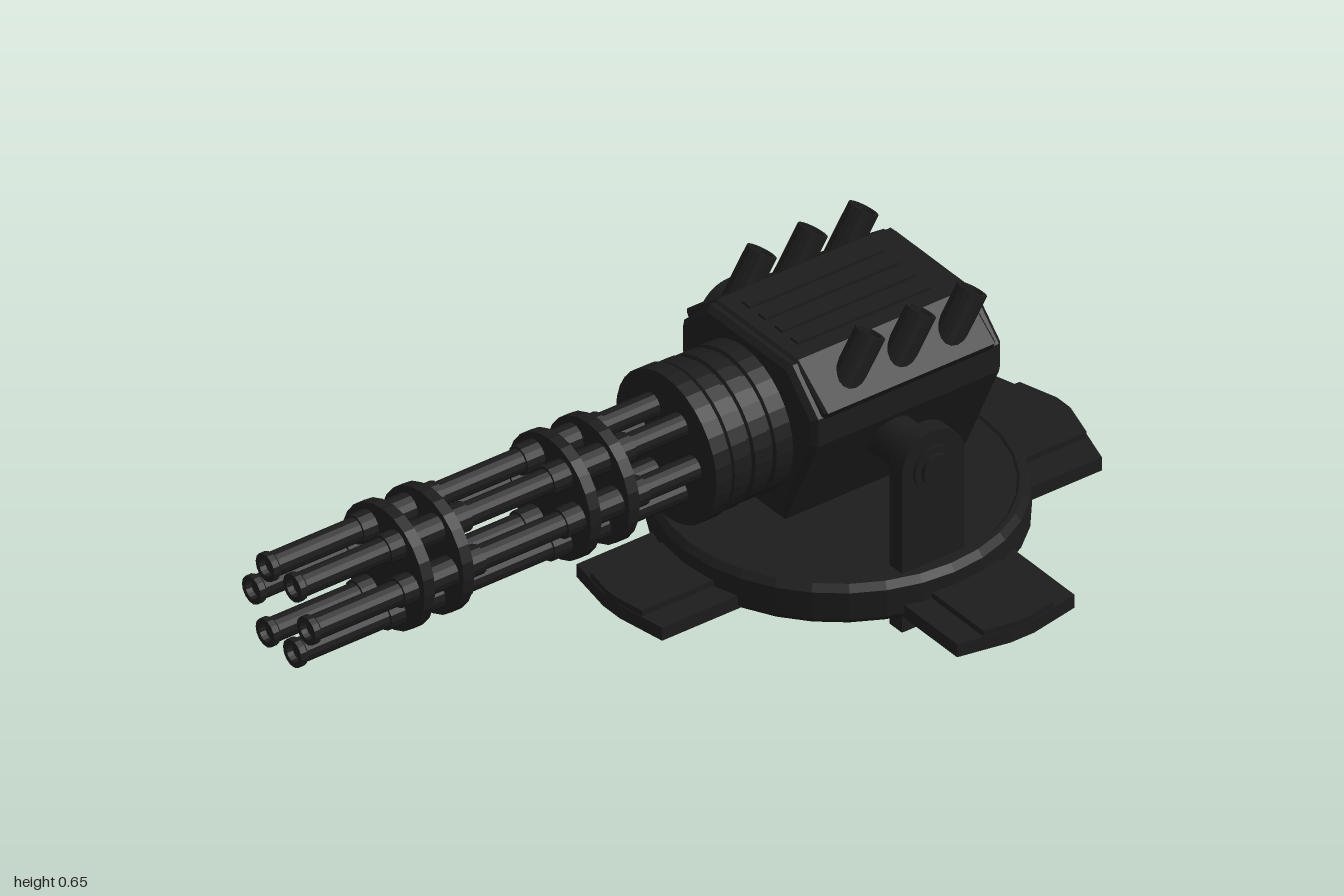
import * as THREE from 'three';

const material = new THREE.MeshStandardMaterial({ color: 0x1c1c1c, flatShading: true });
const smooth = new THREE.MeshStandardMaterial({ color: 0x1c1c1c });
const BASE_X = 0.425;
const AXIS_Y = 0.403, AXIS_Z = -0.007;

function add(parent, name, geometry, x = 0, y = 0, z = 0, mat = material) {
  const mesh = new THREE.Mesh(geometry, mat);
  mesh.name = name;
  mesh.position.set(x, y, z);
  parent.add(mesh);
  return mesh;
}

const polygon = (points) => new THREE.Shape(points.map(([x, y]) => new THREE.Vector2(x, y)));

// Half outline (z, y) from top to bottom, mirrored and extruded along x with a bevel
function prismX(half, x0, x1, bevel) {
  const outline = [...half.map(([z, y]) => [-z, y]), ...half.slice().reverse()];
  const geometry = new THREE.ExtrudeGeometry(polygon(outline), {
    depth: x1 - x0 - 2 * bevel, bevelEnabled: true, bevelSegments: 1,
    bevelSize: bevel, bevelThickness: bevel, bevelOffset: -bevel,
  });
  return geometry.rotateY(Math.PI / 2).translate(x0 + bevel, 0, 0);
}

// Turned part around the x axis from [radius, x] points
function latheX(profile, segments = 32) {
  return new THREE.LatheGeometry(profile.map(([r, x]) => new THREE.Vector2(r, x)), segments).rotateZ(-Math.PI / 2);
}

// Plate lying flat, from an outline of (radial, lateral) points
function plate(points, y0, y1) {
  return new THREE.ExtrudeGeometry(polygon(points), { depth: y1 - y0, bevelEnabled: false })
    .rotateX(-Math.PI / 2).translate(0, y0, 0);
}

function buildBase(root) {
  const base = new THREE.Group();
  base.name = 'base';
  base.position.x = BASE_X;
  root.add(base);
  const profile = [[0, 0.057], [0.385, 0.057], [0.395, 0.07], [0.395, 0.135], [0.382, 0.15], [0.37, 0.15], [0.365, 0.145], [0, 0.145]];
  add(base, 'turntable', new THREE.LatheGeometry(profile.map((p) => new THREE.Vector2(...p)), 32));

  // Four feet: turn, half width, sideways offset, corner reach, middle reach
  const feet = [
    [0, 0.19, 0, 0.53, 0.575],
    [Math.PI / 2, 0.15, -0.035, 0.555, 0.578],
    [Math.PI, 0.145, 0, 0.56, 0.58],
    [-Math.PI / 2, 0.15, 0.035, 0.555, 0.578],
  ];
  for (const [turn, half, shift, corner, middle] of feet) {
    const outline = (w) => {
      const end = middle + (corner - middle) * (w / half);
      return [[0.3, shift - w], [end, shift - w], [middle, shift - w * 0.2],
        [middle, shift + w * 0.2], [end, shift + w], [0.3, shift + w]];
    };
    const foot = new THREE.Group();
    foot.name = 'foot';
    foot.rotation.y = turn;
    base.add(foot);
    add(foot, 'footPlate', plate(outline(half), 0.058, 0.09));
    add(foot, 'footPanel', plate(outline(half * 0.6), 0.085, 0.104));
  }
}

function buildMount(root) {
  for (const side of [1, -1]) {
    // Upright with a rounded head
    const shape = new THREE.Shape();
    shape.moveTo(0.325, 0);
    shape.lineTo(0.485, 0);
    shape.lineTo(0.485, 0.385);
    shape.absarc(0.405, 0.385, 0.08, 0, Math.PI, false);
    const upright = new THREE.ExtrudeGeometry(shape, { depth: 0.042, bevelEnabled: false, curveSegments: 12 });
    add(root, 'mountUpright', upright, 0, 0, side * 0.327 - 0.021);
    // Pivot pin with a smaller cap
    const pin = new THREE.CylinderGeometry(0.052, 0.052, 0.2, 20).rotateX(Math.PI / 2);
    add(root, 'pivotPin', pin, 0.405, 0.378, side * 0.255, smooth);
    const cap = new THREE.CylinderGeometry(0.036, 0.036, 0.012, 20).rotateX(Math.PI / 2);
    add(root, 'pivotCap', cap, 0.405, 0.378, side * 0.359, smooth);
  }
}

function buildBody(root) {
  const body = new THREE.Group();
  body.name = 'body';
  root.add(body);
  add(body, 'housing', prismX([[0.14, 0.597], [0.228, 0.51], [0.228, 0.443], [0.116, 0.205]], 0.19, 0.675, 0.012));
  add(body, 'topCover', prismX([[0.138, 0.603], [0.24, 0.525], [0.228, 0.505]], 0.212, 0.65, 0.006));

  // Ribs on the roof
  for (const z of [-0.082, -0.028, 0.028, 0.082]) {
    add(body, 'roofRib', new THREE.BoxGeometry(0.34, 0.012, 0.026), 0.42, 0.603, z);
  }
  // Upright slats on the rear face
  for (let i = -4; i <= 4; i++) {
    const z = i * 0.034;
    const low = 0.225 + Math.max(0, Math.abs(z) - 0.09) * 2.1;
    add(body, 'rearSlat', new THREE.BoxGeometry(0.012, 0.5 - low, 0.016), 0.675, (0.5 + low) / 2, z);
  }
  // Slanted exhaust pipes, open at the tip
  const pipe = [[0, 0], [0.034, 0], [0.034, 0.175], [0.026, 0.175], [0.026, 0.145], [0, 0.145]];
  for (const side of [1, -1]) {
    for (let i = 0; i < 3; i++) {
      const mesh = add(body, 'exhaustPipe',
        new THREE.LatheGeometry(pipe.map((p) => new THREE.Vector2(...p)), 16),
        0.271 + i * 0.13, 0.49, side * 0.184);
      mesh.rotation.z = -0.585;
    }
  }
}

function buildGun(root) {
  const gun = new THREE.Group();
  gun.name = 'barrelCluster';
  gun.position.set(0, AXIS_Y, AXIS_Z);
  root.add(gun);

  // Stepped drum between housing and barrels
  const drum = [[0, -0.01], [0.171, -0.01], [0.171, 0.03], [0.16, 0.03], [0.16, 0.035], [0.167, 0.04], [0.167, 0.078],
    [0.158, 0.082], [0.158, 0.09], [0.165, 0.094], [0.165, 0.132], [0.158, 0.136], [0.158, 0.144], [0.165, 0.148], [0.165, 0.2], [0, 0.2]];
  add(gun, 'drum', latheX(drum));

  // Six barrels with muzzle lips and thicker sleeves
  const barrel = [[0, -0.985], [0.02, -0.985], [0.02, -1], [0.032, -1], [0.032, -0.985], [0.027, -0.98],
    [0.027, -0.77], [0.033, -0.77], [0.033, -0.562], [0.027, -0.562],
    [0.027, -0.353], [0.033, -0.353], [0.033, -0.145], [0.027, -0.145], [0.027, 0]];
  for (let i = 0; i < 6; i++) {
    const a = (i * Math.PI) / 3;
    add(gun, 'barrel', latheX(barrel, 14), 0, 0.093 * Math.sin(a), 0.093 * Math.cos(a));
  }
  // Clamp discs holding the barrels together
  for (const x of [-0.72, -0.62, -0.295, -0.197]) {
    add(gun, 'barrelClamp', new THREE.CylinderGeometry(0.141, 0.141, 0.027, 24).rotateZ(Math.PI / 2), x);
  }
}

export function createModel() {
  const root = new THREE.Group();
  root.name = 'rotaryTurret';
  buildBase(root);
  buildMount(root);
  buildBody(root);
  buildGun(root);
  return root;
}
